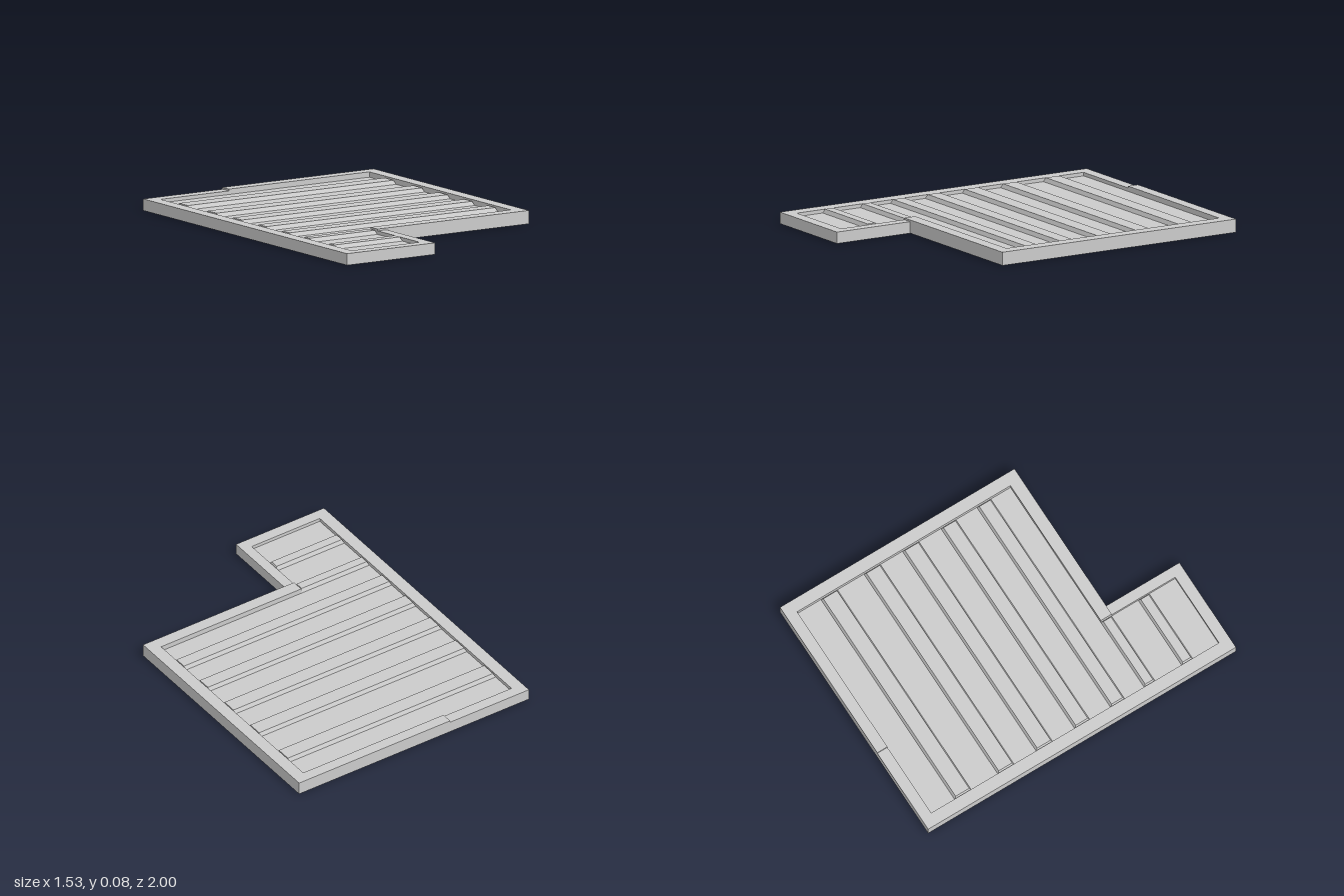
import * as THREE from 'three';

export function createModel() {
  const model = new THREE.Group();
  const material = new THREE.MeshStandardMaterial({ color: 0xcccccc });

  const add = (name, geometry) => {
    const mesh = new THREE.Mesh(geometry, material);
    mesh.name = name;
    model.add(mesh);
    return mesh;
  };

  // Upright slab from a plan outline of [x, z] points
  const slab = (name, points, height) => {
    const shape = new THREE.Shape(points.map(([x, z]) => new THREE.Vector2(x, -z)));
    const geometry = new THREE.ExtrudeGeometry(shape, { depth: height, bevelEnabled: false });
    return add(name, geometry.rotateX(-Math.PI / 2));
  };

  // Plan lines: outer edge, inner edge of the rim, and the notch
  const outer = 0.765, inner = 0.693;
  const back = -1, backIn = -0.935;
  const notch = 0.523, notchIn = 0.452;
  const legX = -0.18, legIn = -0.24;
  const front = 1, frontIn = 0.935;
  const floorY = 0.045, lowY = 0.065, highY = 0.075, slatY = 0.068;

  // Recessed L-shaped floor
  slab('floor', [
    [-inner, backIn], [inner, backIn], [inner, notchIn],
    [legIn, notchIn], [legIn, frontIn], [-inner, frontIn],
  ], floorY);

  // Higher rim around the wide part
  slab('highRim', [
    [legIn, back], [outer, back], [outer, notch], [legIn, notch],
    [legIn, notchIn], [inner, notchIn], [inner, backIn], [legIn, backIn],
  ], highY);

  // Lower rim along the long side and around the narrow leg
  slab('lowRim', [
    [legIn, back], [-outer, back], [-outer, front], [legX, front],
    [legX, notch], [legIn, notch], [legIn, frontIn], [-inner, frontIn],
    [-inner, backIn], [legIn, backIn],
  ], lowY);

  // Raised slat whose top is drawn in to make sloping edges
  const slat = (name, x0, x1, z0, z1) => {
    const w = x1 - x0, d = z1 - z0, h = slatY - floorY, bevel = 0.01;
    const geometry = new THREE.BoxGeometry(w, h, d).toNonIndexed();
    const p = geometry.attributes.position;
    for (let i = 0; i < p.count; i++) {
      if (p.getY(i) > 0) {
        p.setX(i, p.getX(i) - Math.sign(p.getX(i)) * bevel);
        p.setZ(i, p.getZ(i) - Math.sign(p.getZ(i)) * bevel);
      }
    }
    geometry.computeVertexNormals();
    add(name, geometry).position.set((x0 + x1) / 2, floorY + h / 2, (z0 + z1) / 2);
  };

  [[-0.78, -0.672], [-0.5, -0.393], [-0.25, -0.143], [0.0, 0.098], [0.233, 0.325]]
    .forEach(([z0, z1], i) => slat(`wideSlat${i + 1}`, -inner, inner, z0, z1));
  [[0.452, 0.522], [0.695, 0.767]]
    .forEach(([z0, z1], i) => slat(`legSlat${i + 1}`, -inner, legIn, z0, z1));

  return model;
}
